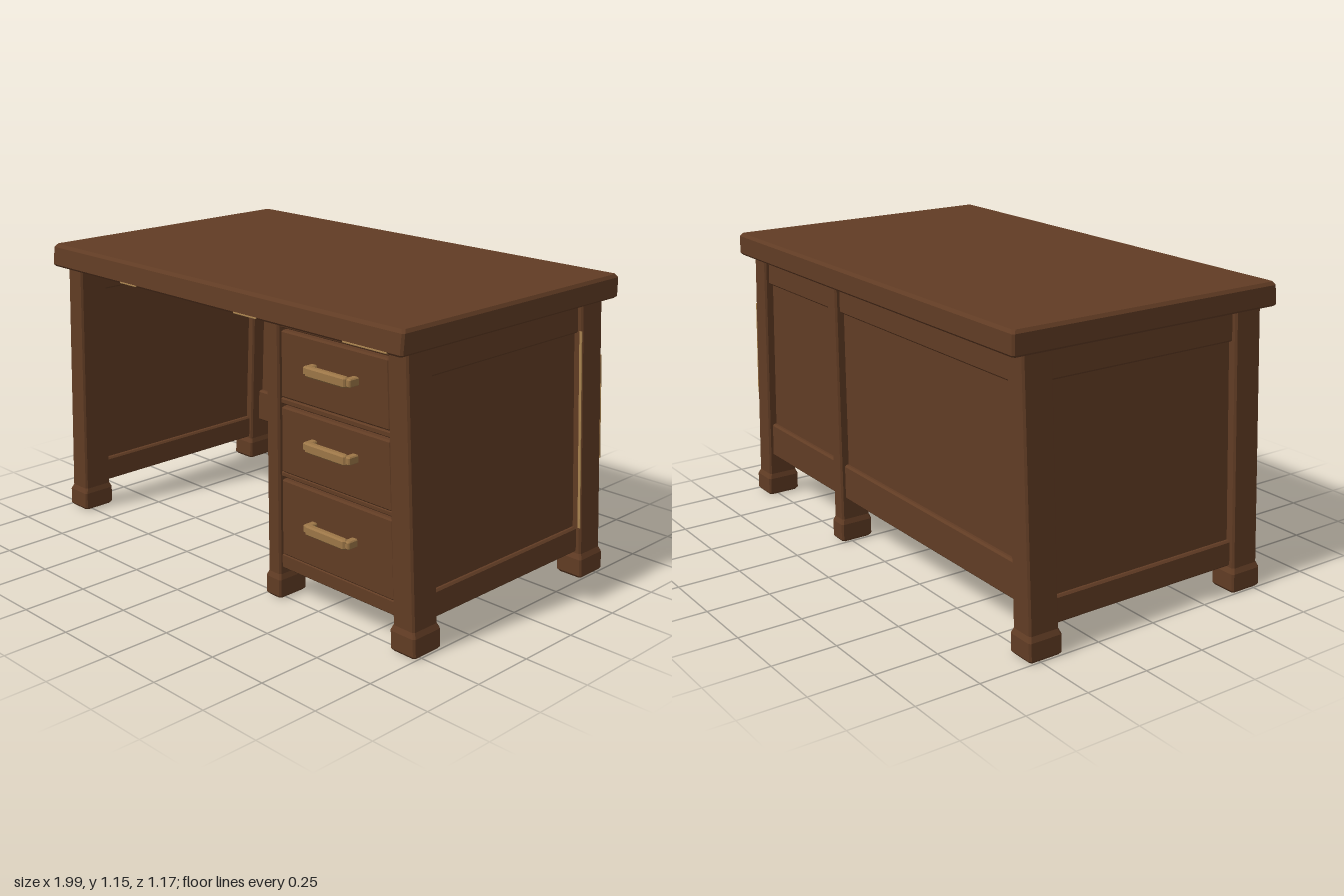
import * as THREE from 'three';

const wood = new THREE.MeshStandardMaterial({ color: 0x613c24 });
wood.name = 'brownWood';
const brass = new THREE.MeshStandardMaterial({ color: 0x9c7647 });
brass.name = 'agedBrass';
const worn = new THREE.MeshStandardMaterial({ color: 0xa9834f });
worn.name = 'wornEdge';

// Loft chamfered rectangles [y, x0, x1, z0, z1] from bottom to top, flat shaded
function loft(sections, c) {
  const rings = sections.map(([y, x0, x1, z0, z1]) => [
    [x1, z0 + c], [x1, z1 - c], [x1 - c, z1], [x0 + c, z1],
    [x0, z1 - c], [x0, z0 + c], [x0 + c, z0], [x1 - c, z0],
  ].map(([x, z]) => [x, y, z]));
  const pos = [];
  const tri = (...pts) => pts.forEach((p) => pos.push(...p));
  const lo = rings[0], hi = rings[rings.length - 1];
  for (let k = 0; k < 8; k++) {
    const n = (k + 1) % 8;
    for (let i = 0; i < rings.length - 1; i++) {
      const a = rings[i], b = rings[i + 1];
      tri(a[k], b[k], b[n]);
      tri(a[k], b[n], a[n]);
    }
    if (k > 0 && k < 7) {
      tri(hi[0], hi[n], hi[k]);
      tri(lo[0], lo[k], lo[n]);
    }
  }
  const g = new THREE.BufferGeometry();
  g.setAttribute('position', new THREE.Float32BufferAttribute(pos, 3));
  g.computeVertexNormals();
  return g;
}

// Outer face of the leaning legs at height y
const lean = (y) => 0.99 - 0.055 * y;

export function createModel() {
  const desk = new THREE.Group();
  desk.name = 'desk';
  const add = (name, geometry, material = wood, parent = desk) => {
    const m = new THREE.Mesh(geometry, material);
    m.name = name;
    parent.add(m);
    return m;
  };

  // Board with eased edges; x limits are functions of height, so ends can lean
  const board = (name, y0, y1, xa, xb, z0, z1, c = 0.005, material = wood, parent = desk) => {
    const fa = typeof xa === 'function' ? xa : () => xa;
    const fb = typeof xb === 'function' ? xb : () => xb;
    const row = (y, i) => [y, fa(y) + i, fb(y) - i, z0 + i, z1 - i];
    return add(name, loft([row(y0, c), row(y0 + c, 0), row(y1 - c, 0), row(y1, c)], c), material, parent);
  };
  // Board running parallel to a leaning side, inset between two depths
  const sideBoard = (name, s, y0, y1, outer, inner, z0, z1, c, material) => {
    const o = (y) => s * (lean(y) - outer), i = (y) => s * (lean(y) - inner);
    return board(name, y0, y1, s > 0 ? i : o, s > 0 ? o : i, z0, z1, c, material);
  };

  // Table top, a little fuller along its lower front edge
  add('tableTop', loft([
    [1.062, -0.945, 0.955, -0.58, 0.58],
    [1.07, -0.952, 0.964, -0.587, 0.587],
    [1.14, -0.95, 0.964, -0.587, 0.58],
    [1.152, -0.94, 0.955, -0.578, 0.57],
  ], 0.008));

  // Legs with slightly flared feet
  const legDepths = [[0.403, 0.525], [-0.535, -0.412]];
  const leg = (name, xa, xb, [z0, z1], f) => {
    const row = (y, i) => [y, xa(y) - i, xb(y) + i, z0 - i, z1 + i];
    add(name, loft([row(0, f - 0.008), row(0.01, f), row(0.075, f), row(0.095, 0), row(1.065, 0)], 0.007));
  };
  for (const depth of legDepths) {
    const end = depth[0] > 0 ? 'front' : 'back';
    leg(end + 'LeftLeg', (y) => lean(y) - 0.098 + 0.008 * y, lean, depth, 0.008);
    leg(end + 'RightLeg', (y) => -lean(y), (y) => -lean(y) + 0.098 - 0.008 * y, depth, 0.008);
    leg(end + 'MiddleLeg', () => 0.26, () => 0.325, depth, 0.007);
  }

  // Framed side panels
  for (const s of [-1, 1]) {
    const side = s > 0 ? 'left' : 'right';
    sideBoard(side + 'SidePanel', s, 0.15, 1.05, 0.035, 0.06, -0.43, 0.42, 0.003);
    sideBoard(side + 'BottomRail', s, 0.1, 0.2, 0.02, 0.08, -0.43, 0.42, 0.007);
    sideBoard(side + 'TopRail', s, 0.95, 1.066, 0.02, 0.08, -0.43, 0.42, 0.007);
  }

  // Framed panel between the middle legs
  board('innerSidePanel', 0.15, 1.05, 0.282, 0.305, -0.43, 0.42, 0.003);
  board('innerBottomRail', 0.1, 0.2, 0.268, 0.317, -0.43, 0.42, 0.007);
  board('innerTopRail', 0.95, 1.066, 0.268, 0.317, -0.43, 0.42, 0.007);

  // Framed back, in two bays
  const bays = [['kneeBay', (y) => -lean(y) + 0.07, 0.28], ['drawerBay', 0.305, (y) => lean(y) - 0.07]];
  for (const [bay, xa, xb] of bays) {
    board(bay + 'BackPanel', 0.25, 1.05, xa, xb, -0.5, -0.475, 0.003);
    board(bay + 'BackBottomRail', 0.18, 0.325, xa, xb, -0.517, -0.455, 0.007);
    board(bay + 'BackTopRail', 0.945, 1.066, xa, xb, -0.517, -0.455, 0.007);
  }

  // Drawer cabinet frame
  const cabinetEnd = (y) => lean(y) - 0.075;
  board('cabinetFloor', 0.145, 0.172, 0.3, (y) => lean(y) - 0.05, -0.47, 0.45, 0.003);
  for (const [y0, y1] of [[0.12, 0.175], [0.477, 0.497], [0.752, 0.774], [1.03, 1.066]]) {
    board('cabinetRail', y0, y1, 0.315, cabinetEnd, 0.41, 0.512, 0.004);
  }

  // Drawers with bar handles
  const drawers = [[0.78, 1.025, 0.92], [0.5, 0.747, 0.647], [0.18, 0.473, 0.34]];
  drawers.forEach(([y0, y1, hy], i) => {
    const drawer = new THREE.Group();
    drawer.name = 'drawer' + (i + 1);
    desk.add(drawer);
    board('drawerFront', y0, y1, 0.334, (y) => lean(y) - 0.087, 0.44, 0.522, 0.006, wood, drawer);
    board('handleBar', hy - 0.019, hy + 0.019, 0.505, 0.7, 0.547, 0.574, 0.006, brass, drawer);
    for (const x of [0.503, 0.702]) {
      board('handleMount', hy - 0.015, hy + 0.015, x - 0.014, x + 0.014, 0.515, 0.566, 0.004, brass, drawer);
    }
  });

  // Thin worn strips along exposed edges
  for (const [x, w] of [[-0.45, 0.1], [0.22, 0.12], [0.8, 0.2]]) {
    board('wornTopEdge', 1.064, 1.07, x - w / 2, x + w / 2, 0.58, 0.588, 0.001, worn);
  }
  sideBoard('wornLegEdge', 1, 0.2, 0.96, 0.001, 0.012, -0.414, -0.41, 0.0005, worn);
  sideBoard('wornCornerEdge', 1, 0.45, 0.85, -0.0005, 0.005, -0.535, -0.53, 0.001, worn);

  return desk;
}
